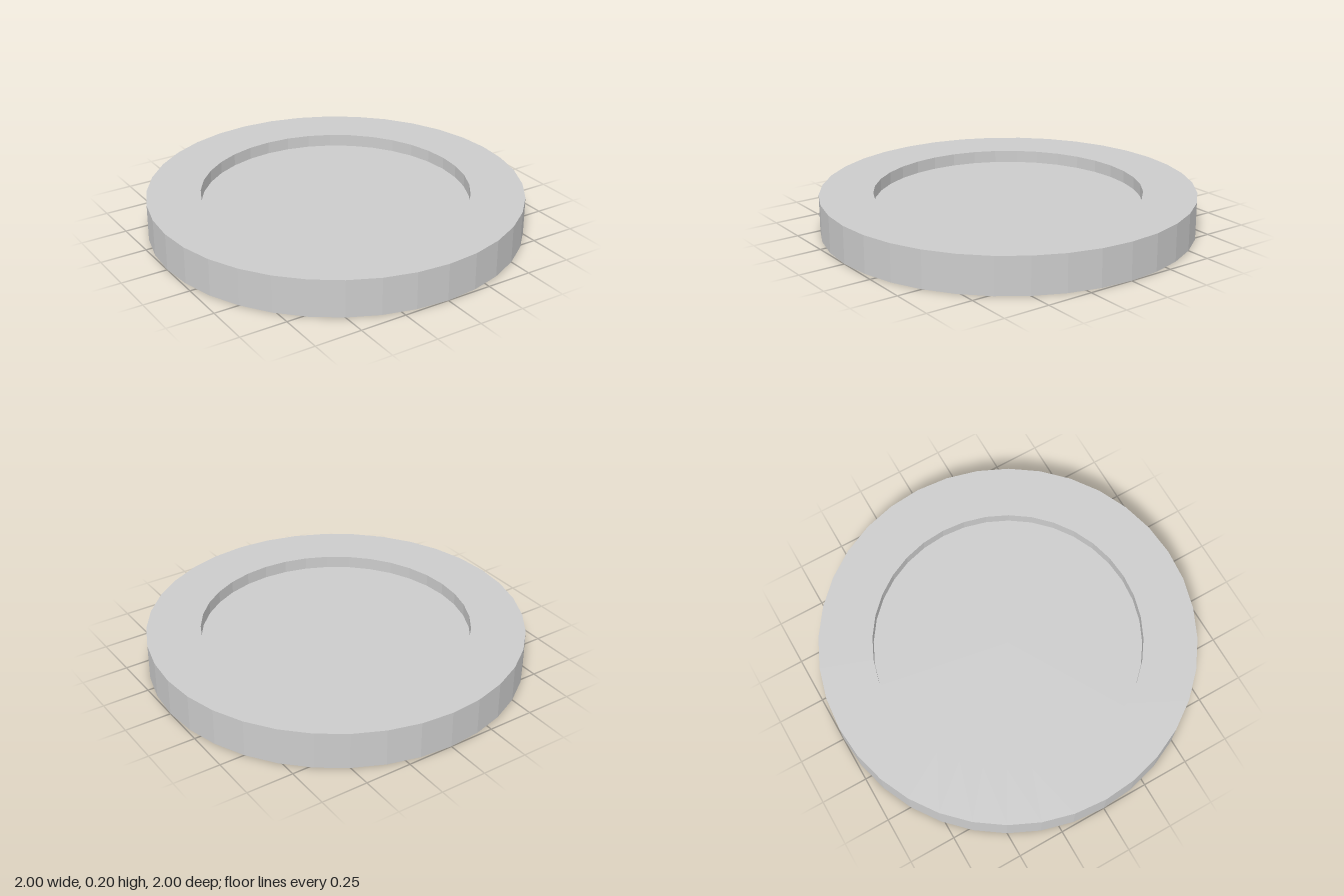
import * as THREE from 'three';

const SEGMENTS = 36;
const OUTER = 1, INNER = 0.715, HEIGHT = 0.2;
const FLOOR_LOW = 0.067, FLOOR_HIGH = 0.133;

export function createModel() {
  const group = new THREE.Group();
  group.name = 'recessedDisc';

  // Half section from the underside centre, around the rim, to the upper centre
  const profile = [
    [0, FLOOR_LOW],
    [INNER, FLOOR_LOW],
    [INNER, 0],
    [OUTER, 0],
    [OUTER, HEIGHT],
    [INNER, HEIGHT],
    [INNER, FLOOR_HIGH],
    [0, FLOOR_HIGH],
  ].map(([r, y]) => new THREE.Vector2(r, y));

  // Faceted rim with a thin central web, recessed on both faces
  const geometry = new THREE.LatheGeometry(profile, SEGMENTS).toNonIndexed();
  geometry.computeVertexNormals();
  const disc = new THREE.Mesh(
    geometry,
    new THREE.MeshStandardMaterial({ color: 0xcccccc, flatShading: true })
  );
  disc.name = 'rimAndWeb';
  group.add(disc);

  return group;
}
